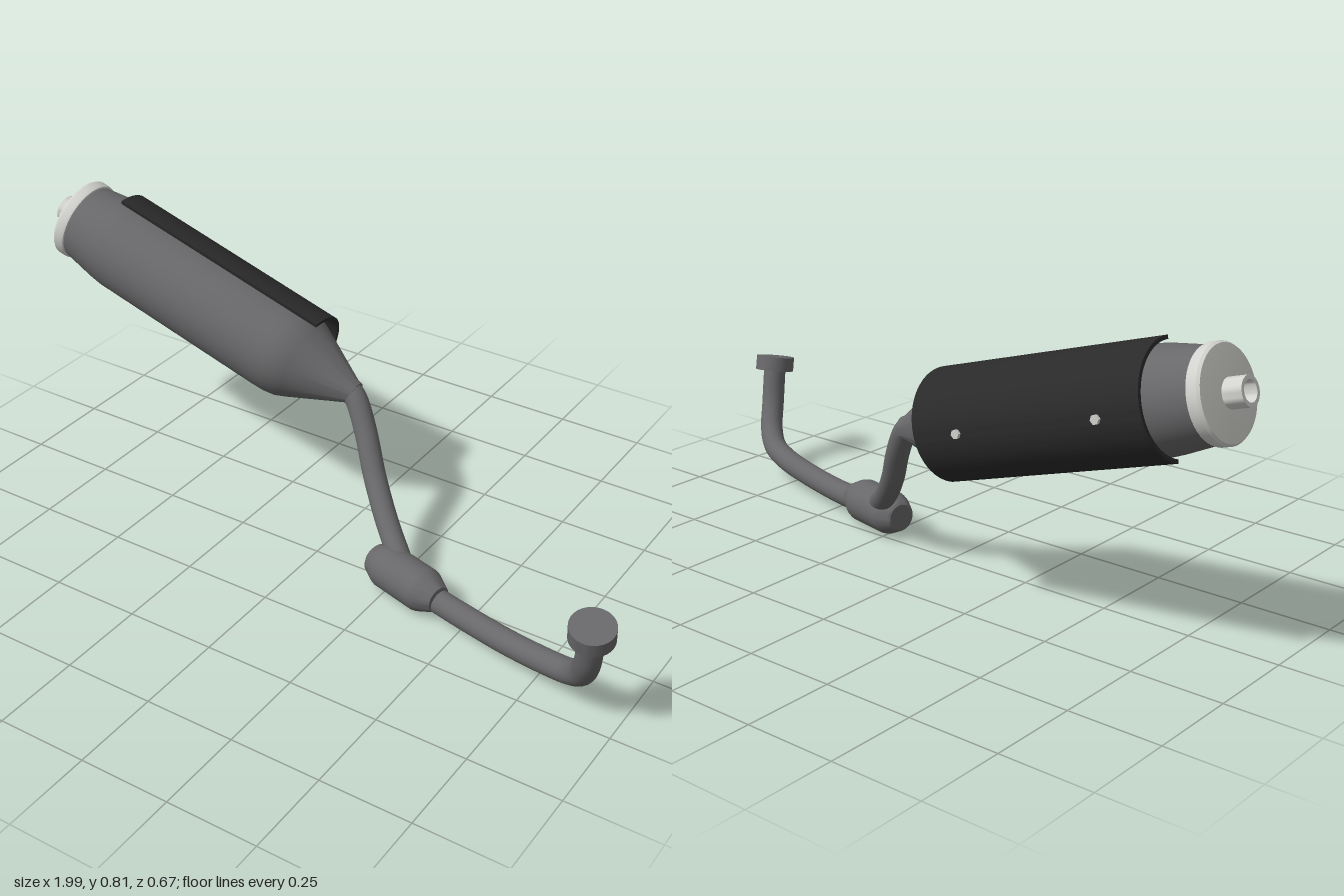
import * as THREE from 'three';
import { toCreasedNormals } from 'three/addons/utils/BufferGeometryUtils.js';

const mat = (name, color) => {
  const m = new THREE.MeshStandardMaterial({ color });
  m.name = name;
  return m;
};

export function createModel() {
  const steel = mat('dark steel', 0x68686a);
  const black = mat('black shield', 0x2a2a2a);
  const silver = mat('silver', 0xd2d2ce);

  const model = new THREE.Group();
  model.name = 'exhaust';

  const add = (parent, name, geometry, material) => {
    const mesh = new THREE.Mesh(geometry, material);
    mesh.name = name;
    parent.add(mesh);
    return mesh;
  };
  // Turned part: [radius, height] pairs, sharp where the profile bends strongly
  const turned = (pts, sides = 48) => toCreasedNormals(
    new THREE.LatheGeometry(pts.map(([r, y]) => new THREE.Vector2(r, y)), sides), 0.45);
  const pipe = (pts, radius) => new THREE.TubeGeometry(
    new THREE.CatmullRomCurve3(pts.map(p => new THREE.Vector3(...p))), 48, radius, 24);

  // Muffler: local +y runs along its axis to the outlet, local +x points up
  const muffler = new THREE.Group();
  muffler.name = 'muffler';
  muffler.position.set(0, 0.42, -0.18);
  muffler.rotation.z = 1.276;
  model.add(muffler);

  add(muffler, 'mufflerBody', turned([
    [0, -0.005], [0.033, -0.005], [0.036, 0.01], [0.112, 0.165], [0.123, 0.19],
    [0.129, 0.225], [0.13, 0.26], [0.13, 0.8], [0.126, 0.84], [0.11, 0.942],
  ]), steel);
  add(muffler, 'endCap', turned([
    [0.105, 0.938], [0.115, 0.94], [0.117, 0.947], [0.117, 0.968], [0.112, 0.975], [0, 0.981],
  ]), silver);
  add(muffler, 'outletPipe', turned([
    [0.036, 0.97], [0.036, 1.03], [0.026, 1.03], [0.026, 0.985], [0, 0.985],
  ], 32), silver);

  // Heat shield: curved plate from the top round the back to the underside
  const arc = new THREE.Shape();
  const a0 = -0.12, a1 = Math.PI - 0.32;
  arc.absarc(0, 0, 0.145, a0, a1, false);
  arc.absarc(0, 0, 0.135, a1, a0, true);
  const plate = new THREE.ExtrudeGeometry(arc, { depth: 0.68, bevelEnabled: false, curveSegments: 36 });
  plate.rotateX(-Math.PI / 2);
  add(muffler, 'heatShield', toCreasedNormals(plate, 0.5), black).position.y = 0.157;

  // Shield bolts
  for (const t of [0.298, 0.716]) {
    const bolt = add(muffler, 'shieldBolt',
      toCreasedNormals(new THREE.CylinderGeometry(0.012, 0.012, 0.02, 6), 0.5), silver);
    bolt.rotation.x = -Math.PI / 2;
    bolt.position.set(0, t, -0.144);
  }

  // Pipe from the muffler down to the chamber
  add(model, 'rearPipe', pipe([
    [-0.02, 0.432, -0.181], [0.01, 0.41, -0.174], [0.06, 0.335, -0.147], [0.12, 0.238, -0.1],
    [0.2, 0.152, -0.038], [0.28, 0.09, 0.02],
  ], 0.031), steel);

  // Swollen chamber where the pipes meet
  const chamber = add(model, 'chamber', turned([
    [0, -0.122], [0.036, -0.122], [0.042, -0.117], [0.058, -0.082], [0.061, -0.07],
    [0.061, 0.06], [0.058, 0.072], [0.036, 0.118], [0, 0.122],
  ], 32), steel);
  chamber.position.set(0.312, 0.065, 0.045);
  chamber.quaternion.setFromUnitVectors(new THREE.Vector3(0, 1, 0),
    new THREE.Vector3(0.97, -0.03, 0.25).normalize());

  // Pipe from the chamber forward and up to the engine
  add(model, 'frontPipe', pipe([
    [0.38, 0.055, 0.06], [0.5, 0.052, 0.087], [0.65, 0.056, 0.123], [0.78, 0.07, 0.154],
    [0.85, 0.09, 0.178], [0.895, 0.13, 0.21], [0.921, 0.195, 0.244], [0.936, 0.305, 0.272],
  ], 0.033), steel);

  // Engine flange
  const flange = add(model, 'flange',
    toCreasedNormals(new THREE.CylinderGeometry(0.057, 0.057, 0.042, 40), 0.5), steel);
  flange.position.set(0.938, 0.313, 0.275);
  flange.quaternion.setFromUnitVectors(new THREE.Vector3(0, 1, 0),
    new THREE.Vector3(0.07, 0.97, 0.22).normalize());

  return model;
}
